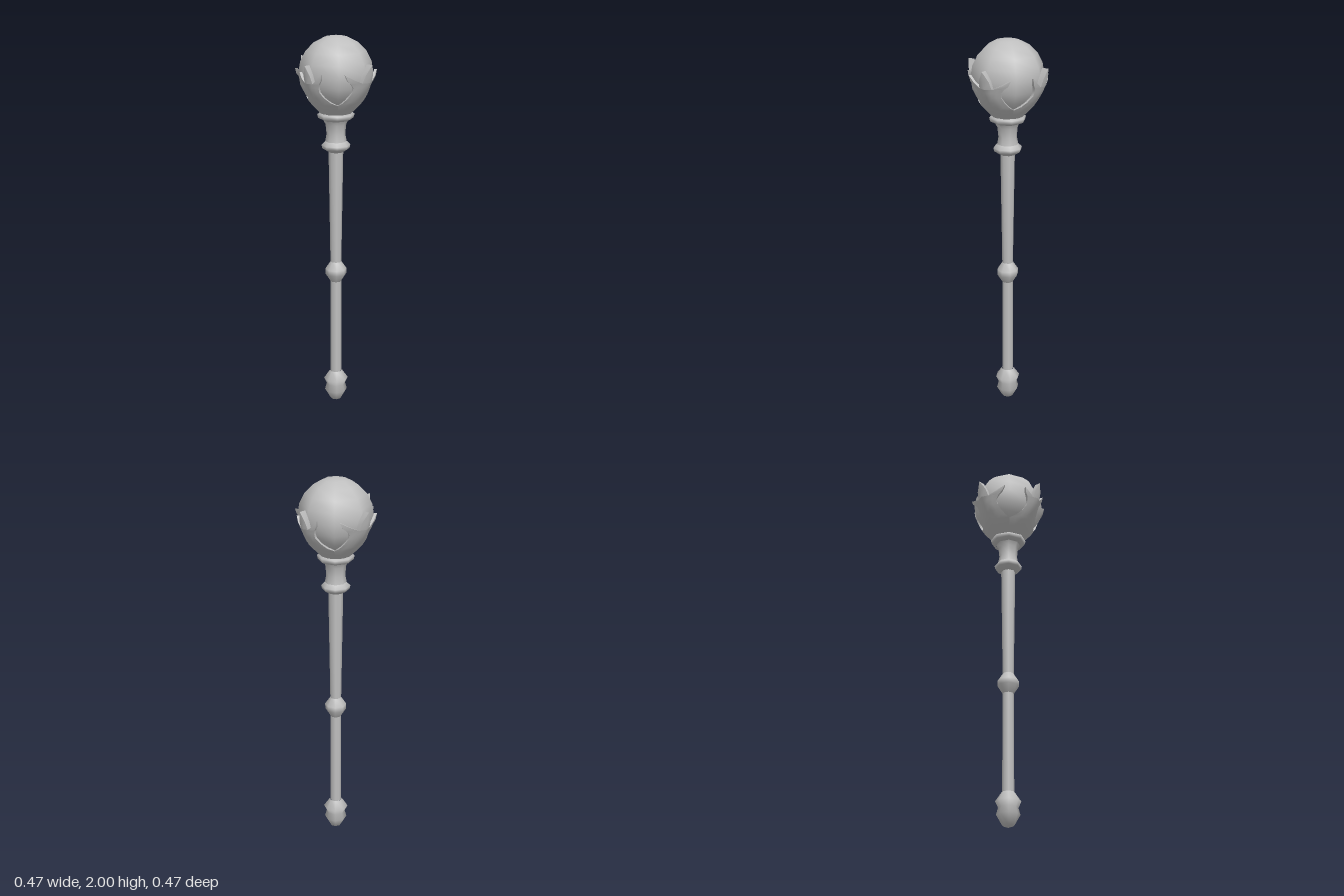
import * as THREE from 'three';
import { toCreasedNormals } from 'three/addons/utils/BufferGeometryUtils.js';

const DEG = Math.PI / 180;

// cup wall: [height, inner radius, outer radius]
const WALL = [
  [1.61, 0.06, 0.08], [1.65, 0.09, 0.12], [1.70, 0.14, 0.163],
  [1.75, 0.172, 0.198], [1.80, 0.186, 0.222], [1.875, 0.198, 0.233],
];

function wallRadius(y, column) {
  let i = 0;
  while (i < WALL.length - 2 && y > WALL[i + 1][0]) i++;
  const t = (y - WALL[i][0]) / (WALL[i + 1][0] - WALL[i][0]);
  return THREE.MathUtils.lerp(WALL[i][column], WALL[i + 1][column], t);
}

// outer skin, ridged along the middle of each petal
function outerRadius(y, deg) {
  const fade = THREE.MathUtils.clamp((y - 1.67) / 0.1, 0, 1);
  return wallRadius(y, 2) - 0.022 * fade * Math.min(1, Math.abs(deg) / 20);
}

// closed curved plate; each row is [angleA, yA, angleB, yB], from bottom to top
function curvedPlate(rows, columns) {
  const pos = [], index = [], ring = 2 * (columns + 1);
  for (const [a, ya, b, yb] of rows) {
    for (let k = 0; k < ring; k++) {
      const outer = k <= columns;
      const s = (outer ? k : ring - 1 - k) / columns;
      const deg = THREE.MathUtils.lerp(a, b, s), y = THREE.MathUtils.lerp(ya, yb, s);
      const r = outer ? outerRadius(y, deg) : wallRadius(y, 1);
      pos.push(r * Math.sin(deg * DEG), y, r * Math.cos(deg * DEG));
    }
  }
  for (let j = 0; j < rows.length - 1; j++) {
    for (let k = 0; k < ring; k++) {
      const a = j * ring + k, b = j * ring + (k + 1) % ring;
      index.push(a, b, b + ring, a, b + ring, a + ring);
    }
  }
  const geo = new THREE.BufferGeometry();
  geo.setAttribute('position', new THREE.Float32BufferAttribute(pos, 3));
  geo.setIndex(index);
  return toCreasedNormals(geo, 60 * DEG);
}

// petal: a waisted stem that splits into three points
function makePetal(material, widths, notch, tip) {
  const petal = new THREE.Group();
  const add = (name, rows, columns) => {
    const mesh = new THREE.Mesh(curvedPlate(rows, columns), material);
    mesh.name = name;
    petal.add(mesh);
  };
  const heights = [1.61, 1.64, 1.67, 1.685, 1.71, 1.74, 1.765, 1.785];
  const top = widths[widths.length - 1];
  add('petalStem', heights.map((y, i) => [-widths[i], y, widths[i], y]), 6);
  add('middlePoint', [
    [-notch, 1.785, notch, 1.785], [-notch * 0.75, 1.825, notch * 0.75, 1.825], [0, 1.875, 0, 1.875],
  ], 2);
  for (const side of [-1, 1]) {
    const rows = [
      [notch, 1.785, top, 1.785],
      [(notch + tip) / 2, 1.806, (top + tip) / 2 + 1, 1.803],
      [tip, 1.832, tip, 1.832],
    ];
    add(side < 0 ? 'rightPoint' : 'leftPoint',
      side > 0 ? rows : rows.map(([a, ya, b, yb]) => [-b, yb, -a, ya]), 2);
  }
  return petal;
}

export function createModel() {
  const model = new THREE.Group();
  model.name = 'sceptre';
  const grey = new THREE.MeshStandardMaterial({ color: 0xc0c0c0 });
  grey.name = 'grey';

  // turned eight-sided parts: [radius, height]
  const turned = {
    pommel: [[0, 0], [0.03, 0.012], [0.06, 0.065], [0.05, 0.1], [0.065, 0.132], [0.033, 0.178]],
    lowerShaft: [[0.03, 0.175], [0.029, 0.70]],
    grip: [[0.029, 0.70], [0.056, 0.742], [0.056, 0.77], [0.029, 0.81]],
    upperShaft: [[0.029, 0.81], [0.038, 1.41]],
    collar: [[0.037, 1.405], [0.07, 1.425], [0.074, 1.443], [0.055, 1.462]],
    neck: [[0.055, 1.462], [0.048, 1.5], [0.053, 1.55], [0.066, 1.575]],
    cupRing: [[0.066, 1.572], [0.09, 1.583], [0.095, 1.603], [0.076, 1.615], [0, 1.62]],
  };
  for (const [name, profile] of Object.entries(turned)) {
    const points = profile.map(([r, y]) => new THREE.Vector2(r, y));
    const mesh = new THREE.Mesh(new THREE.LatheGeometry(points, 8), grey);
    mesh.name = name;
    model.add(mesh);
  }

  // orb
  const orb = new THREE.Mesh(new THREE.SphereGeometry(0.188, 8, 10), grey);
  orb.name = 'orb';
  orb.position.y = 1.812;
  model.add(orb);

  // four petals round the orb; the side pair is wider than the front and back
  const names = ['frontPetal', 'leftPetal', 'backPetal', 'rightPetal'];
  names.forEach((name, i) => {
    const petal = i % 2
      ? makePetal(grey, [45, 45, 45, 36, 28, 22, 22, 27], 10, 37)
      : makePetal(grey, [45, 45, 45, 31, 20, 14, 14, 16], 7, 20);
    petal.name = name;
    petal.rotation.y = i * Math.PI / 2;
    model.add(petal);
  });

  return model;
}
